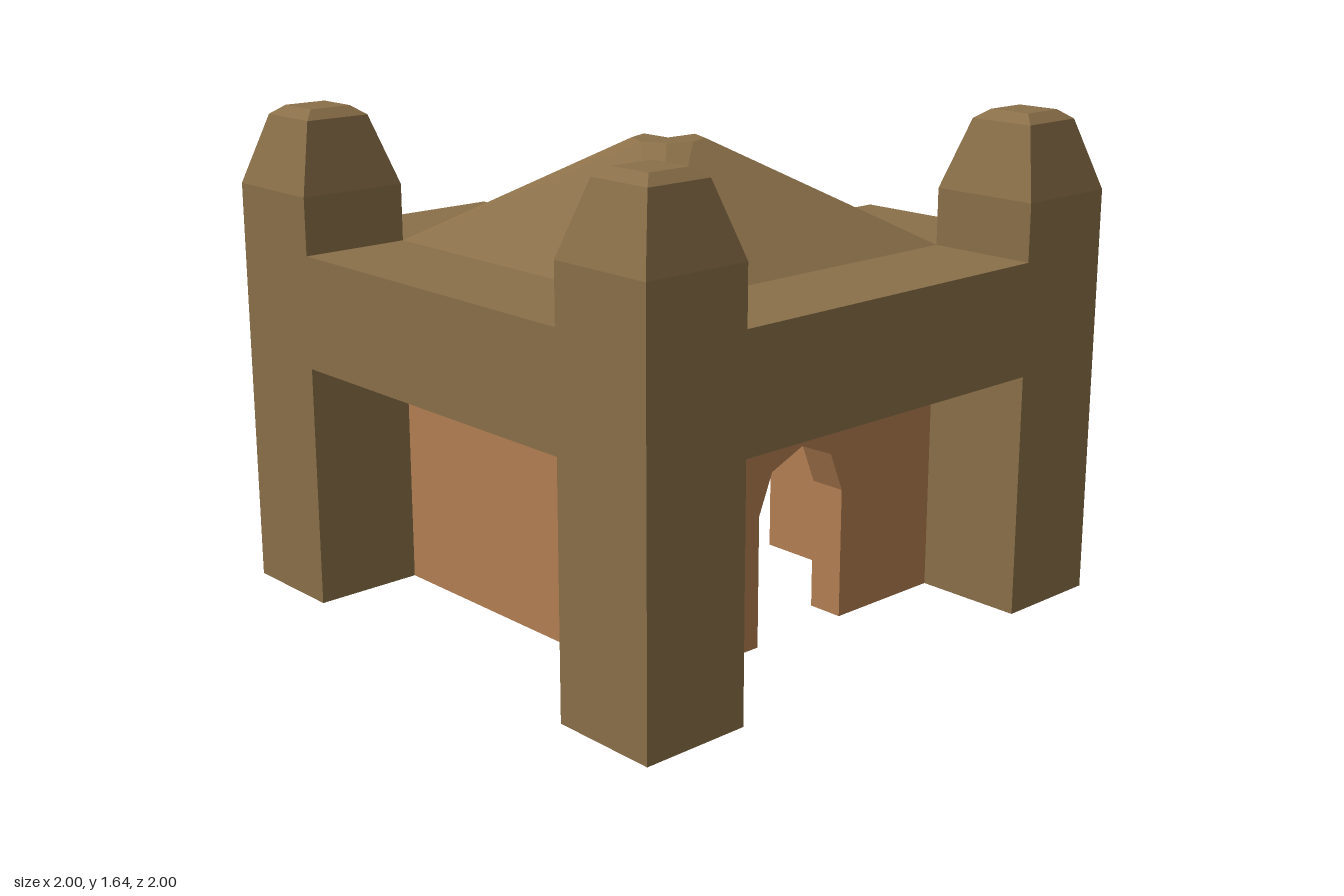
import * as THREE from 'three';

const INNER = 0.625, WALL_IN = 0.5, WALL_TOP = 0.815, EAVE = 1.19;

export function createModel() {
  const model = new THREE.Group();
  model.name = 'cutawayGatehouse';
  const stone = new THREE.MeshStandardMaterial({ color: 0x8b7049, flatShading: true });
  const clay = new THREE.MeshStandardMaterial({ color: 0xb47f52, flatShading: true });

  function add(name, geometry, material) {
    const mesh = new THREE.Mesh(geometry, material);
    mesh.name = name;
    model.add(mesh);
    return mesh;
  }

  // Box given by its extents on each axis
  function addBox(name, material, x0, x1, y0, y1, z0, z1) {
    add(name, new THREE.BoxGeometry(x1 - x0, y1 - y0, z1 - z0), material)
      .position.set((x0 + x1) / 2, (y0 + y1) / 2, (z0 + z1) / 2);
  }

  // Corner towers: square shafts with tapered caps (half width, height)
  const profile = [[0, 0], [0.1875, 0], [0.1875, 1.38], [0.115, 1.61], [0.075, 1.64], [0, 1.64]]
    .map(([half, y]) => new THREE.Vector2(half * Math.SQRT2, y));
  const towerGeometry = new THREE.LatheGeometry(profile, 4, Math.PI / 4);
  for (const [name, sx, sz] of [['frontLeftTower', 1, 1], ['frontRightTower', -1, 1], ['backRightTower', -1, -1]]) {
    add(name, towerGeometry, stone).position.set(sx * 0.8125, 0, sz * 0.8125);
  }

  // Parapet beams between the towers; the back and left ones stop at the cut
  addBox('frontBeam', stone, -INNER, INNER, WALL_TOP, EAVE, INNER, 1);
  addBox('rightBeam', stone, -1, -INNER, WALL_TOP, EAVE, -INNER, INNER);
  addBox('backBeam', stone, -INNER, 0, WALL_TOP, EAVE, -1, -INNER);
  addBox('leftBeam', stone, INNER, 1, WALL_TOP, EAVE, 0, INNER);

  // Plain walls
  addBox('rightWall', clay, -INNER, -WALL_IN, 0, WALL_TOP, -WALL_IN, WALL_IN);
  addBox('backWall', clay, -INNER, 0, 0, WALL_TOP, -INNER, -WALL_IN);
  addBox('leftWall', clay, WALL_IN, INNER, 0, WALL_TOP, 0, WALL_IN);

  // Front wall with a faceted arched doorway
  const wall = new THREE.Shape();
  wall.moveTo(-INNER, 0);
  wall.lineTo(-0.19, 0);
  for (let i = 0; i <= 4; i++) {
    const a = Math.PI * (1 - i / 4);
    wall.lineTo(0.19 * Math.cos(a), 0.44 + 0.19 * Math.sin(a));
  }
  wall.lineTo(0.19, 0);
  wall.lineTo(INNER, 0);
  wall.lineTo(INNER, WALL_TOP);
  wall.lineTo(-INNER, WALL_TOP);
  add('frontWall', new THREE.ExtrudeGeometry(wall, { depth: INNER - WALL_IN, bevelEnabled: false }), clay)
    .position.z = WALL_IN;

  add('roof', roofGeometry(), stone);
  return model;
}

// Three quarters of a roof shell lofted from a square eave to an octagonal cap
function roofGeometry() {
  const sections = [];
  for (let k = 0; k <= 6; k++) {
    const a = k * Math.PI / 4, c = Math.cos(a), s = Math.sin(a);
    const eave = INNER / Math.max(Math.abs(c), Math.abs(s));
    sections.push([[eave, 1.13], [eave, EAVE], [0.12, 1.54], [0, 1.54], [0, 1.48], [0.12, 1.48]]
      .map(([r, y]) => [r * c, y, r * s]));
  }
  const positions = [];
  const tri = (...corners) => corners.forEach((p) => positions.push(...p));

  // Outer slope, cap top, cap underside and inner slope
  for (let k = 0; k < 6; k++) {
    for (const [i, j] of [[1, 2], [2, 3], [4, 5], [5, 0]]) {
      const A = sections[k][i], B = sections[k][j], C = sections[k + 1][i], D = sections[k + 1][j];
      // Slope diagonals run from the eave corner to the middle of each side
      const cornerFirst = k % 2 === 1;
      const useAD = i === 1 ? cornerFirst : i === 5 ? !cornerFirst : j === 3;
      if (i === 2) tri(A, B, C);
      else if (i === 4) tri(B, D, A);
      else if (useAD) { tri(A, B, D); tri(A, D, C); }
      else { tri(A, B, C); tri(B, D, C); }
    }
  }

  // Cut faces at both ends of the sweep
  for (const [i, j, l] of [[0, 1, 2], [0, 2, 5], [5, 2, 3], [5, 3, 4]]) {
    tri(sections[0][l], sections[0][j], sections[0][i]);
    tri(sections[6][i], sections[6][j], sections[6][l]);
  }

  const geometry = new THREE.BufferGeometry();
  geometry.setAttribute('position', new THREE.Float32BufferAttribute(positions, 3));
  geometry.computeVertexNormals();
  return geometry;
}
